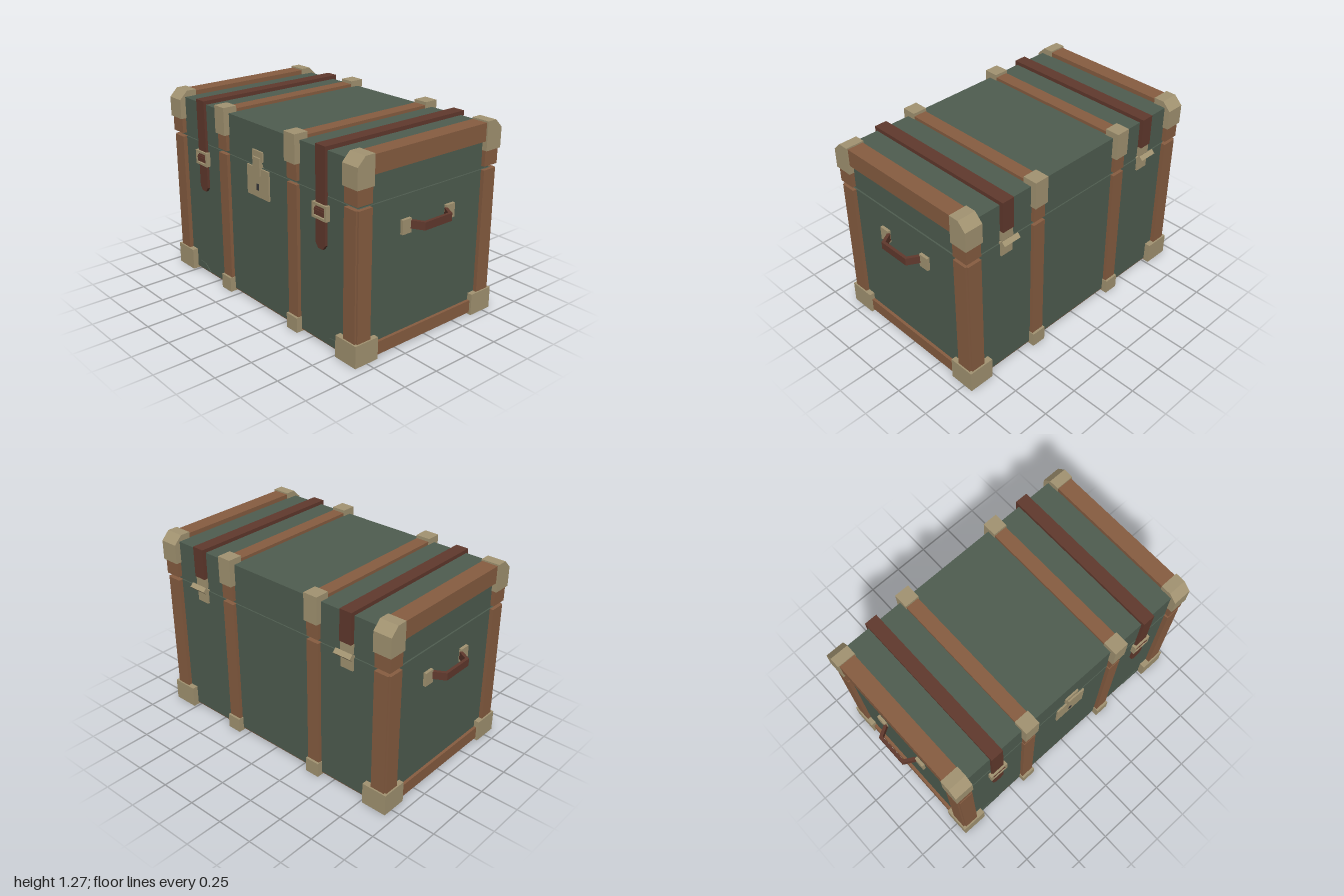
import * as THREE from 'three';

const mat = (name, color) => {
  const m = new THREE.MeshStandardMaterial({ color });
  m.name = name;
  return m;
};

export function createModel() {
  const green = mat('green canvas', 0x4f5d50);
  const wood = mat('brown wood', 0x875d41);
  const brass = mat('aged brass', 0xa39472);
  const leather = mat('dark leather', 0x61392d);
  const base = mat('base wood', 0x76533b);
  const dark = mat('keyhole dark', 0x38383a);

  const root = new THREE.Group();
  root.name = 'trunk';
  const trunk = new THREE.Group();
  trunk.name = 'trunkBody';
  trunk.position.z = 0.0125;
  root.add(trunk);

  const add = (parent, name, geo, m) => {
    const mesh = new THREE.Mesh(geo, m);
    mesh.name = name;
    parent.add(mesh);
    return mesh;
  };
  // Box from its limits on each axis
  const box = (parent, name, m, x0, x1, y0, y1, z0, z1) => {
    const geo = new THREE.BoxGeometry(Math.abs(x1 - x0), y1 - y0, Math.abs(z1 - z0));
    geo.translate((x0 + x1) / 2, (y0 + y1) / 2, (z0 + z1) / 2);
    return add(parent, name, geo, m);
  };
  const extrude = (pts, depth) => new THREE.ExtrudeGeometry(
    new THREE.Shape(pts.map(([x, y]) => new THREE.Vector2(x, y))),
    { depth, bevelEnabled: false });

  // Case, recessed seam and lid
  box(trunk, 'base', base, -0.905, 0.905, 0.015, 0.02, -0.538, 0.538);
  box(trunk, 'case', green, -0.905, 0.905, 0.02, 0.96, -0.538, 0.538);
  box(trunk, 'seam', green, -0.895, 0.895, 0.96, 0.985, -0.53, 0.53);
  box(trunk, 'lid', green, -0.905, 0.905, 0.985, 1.23, -0.538, 0.538);

  // The two ends: rails, posts, corner caps and handle
  for (const side of [1, -1]) {
    const end = new THREE.Group();
    end.name = side > 0 ? 'leftEnd' : 'rightEnd';
    if (side < 0) end.rotation.y = Math.PI;
    trunk.add(end);
    box(end, 'lidRail', wood, 0.82, 0.93, 1.145, 1.26, -0.53, 0.53);
    box(end, 'bottomRail', wood, 0.85, 0.925, 0.016, 0.10, -0.53, 0.53);
    for (const s of [1, -1]) {
      // Case post: two boards meeting in a notched corner
      box(end, 'postFace', wood, 0.82, 0.918, 0.02, 0.96, s * 0.5, s * 0.567);
      box(end, 'postSide', wood, 0.85, 0.93, 0.02, 0.96, s * 0.455, s * 0.556);
      box(end, 'lidPost', wood, 0.82, 0.93, 0.985, 1.2, s * 0.455, s * 0.567);
      box(end, 'bottomCorner', brass, 0.765, 0.94, 0, 0.145, s * 0.403, s * 0.5775);
      // Lid corner cap with a chamfered top edge
      const profile = [[-0.5775, 1.085], [-0.453, 1.085], [-0.453, 1.27], [-0.5225, 1.27], [-0.5775, 1.215]];
      const cap = extrude(profile.map(([z, y]) => [s * z, y]), 0.125);
      cap.rotateY(Math.PI / 2);
      cap.translate(0.815, 0, 0);
      add(end, 'lidCorner', cap, brass);
      box(end, 'handlePlate', brass, 0.9, 0.925, 0.725, 0.815, s * 0.145, s * 0.215);
    }
    // Carrying handle, bent outward
    const grip = extrude([[0.915, 0.158], [0.915, 0.135], [0.98, 0.097], [0.98, -0.097],
      [0.915, -0.135], [0.915, -0.158], [1, -0.11], [1, 0.11]], 0.05);
    grip.rotateX(Math.PI / 2);
    grip.translate(0, 0.8, 0);
    add(end, 'handle', grip, leather);
  }

  // Wooden slats around the case, with brass ends
  for (const x of [-0.355, 0.355]) {
    const slat = new THREE.Group();
    slat.name = 'slat';
    slat.position.x = x;
    trunk.add(slat);
    box(slat, 'topSlat', wood, -0.045, 0.045, 1.22, 1.25, -0.5, 0.5);
    for (const s of [1, -1]) {
      box(slat, 'caseSlat', wood, -0.045, 0.045, 0.02, 0.96, s * 0.52, s * 0.562);
      box(slat, 'lidSlat', wood, -0.045, 0.045, 0.985, 1.2, s * 0.52, s * 0.562);
      box(slat, 'lidSlatCap', brass, -0.05, 0.05, 1.09, 1.27, s * 0.48, s * 0.5775);
      box(slat, 'caseSlatCap', brass, -0.05, 0.05, 0, 0.10, s * 0.5, s * 0.5775);
    }
  }

  // Leather straps with buckles at the front and hinges at the back
  for (const x of [-0.607, 0.607]) {
    const strap = new THREE.Group();
    strap.name = 'strap';
    strap.position.x = x;
    trunk.add(strap);
    const tail = extrude([[-0.043, 0.66], [-0.02, 0.63], [0.02, 0.63], [0.043, 0.66],
      [0.043, 1.255], [-0.043, 1.255]], 0.02);
    tail.translate(0, 0, 0.536);
    add(strap, 'strapFront', tail, leather);
    box(strap, 'strapTop', leather, -0.043, 0.043, 1.225, 1.255, -0.565, 0.536);
    box(strap, 'strapBack', leather, -0.043, 0.043, 1.05, 1.255, -0.565, -0.536);
    // Buckle frame and its cross bar
    for (const s of [1, -1]) {
      box(strap, 'buckleSide', brass, s * 0.048, s * 0.063, 0.815, 0.91, 0.536, 0.568);
      const y = s > 0 ? 0.895 : 0.815;
      box(strap, 'buckleBar', brass, -0.048, 0.048, y, y + 0.015, 0.55, 0.568);
    }
    box(strap, 'strapLoop', leather, -0.048, 0.048, 0.835, 0.878, 0.55, 0.563);
    box(strap, 'bucklePin', leather, -0.048, 0.048, 0.861, 0.867, 0.56, 0.567);
    // Hinge
    box(strap, 'hingeUpperPlate', brass, -0.045, 0.045, 0.985, 1.05, -0.555, -0.53);
    box(strap, 'hingeLowerPlate', brass, -0.045, 0.045, 0.875, 0.97, -0.55, -0.53);
    const barrel = add(strap, 'hingeBarrel', new THREE.BoxGeometry(0.125, 0.033, 0.033), brass);
    barrel.rotation.x = Math.PI / 4;
    barrel.position.set(0, 0.98, -0.574);
  }

  // Lock plate, hasp and keyhole
  box(trunk, 'lockPlate', brass, -0.11, 0.11, 0.765, 0.955, 0.53, 0.549);
  box(trunk, 'haspPlate', brass, -0.05, 0.05, 1.0, 1.065, 0.53, 0.549);
  box(trunk, 'hasp', brass, -0.035, 0.035, 0.91, 1.025, 0.53, 0.56);
  box(trunk, 'keyhole', dark, -0.01, 0.01, 0.81, 0.852, 0.545, 0.552);

  // Low green patches beside the front corners
  for (const s of [1, -1]) {
    const patch = extrude([[-0.085, 0.022], [0.085, 0.022], [0.065, 0.062], [0.04, 0.073], [-0.02, 0.068]]
      .map(([x, y]) => [s * x, y]), 0.006);
    patch.translate(s * 0.685, 0, 0.536);
    add(trunk, 'patch', patch, green);
  }
  return root;
}
